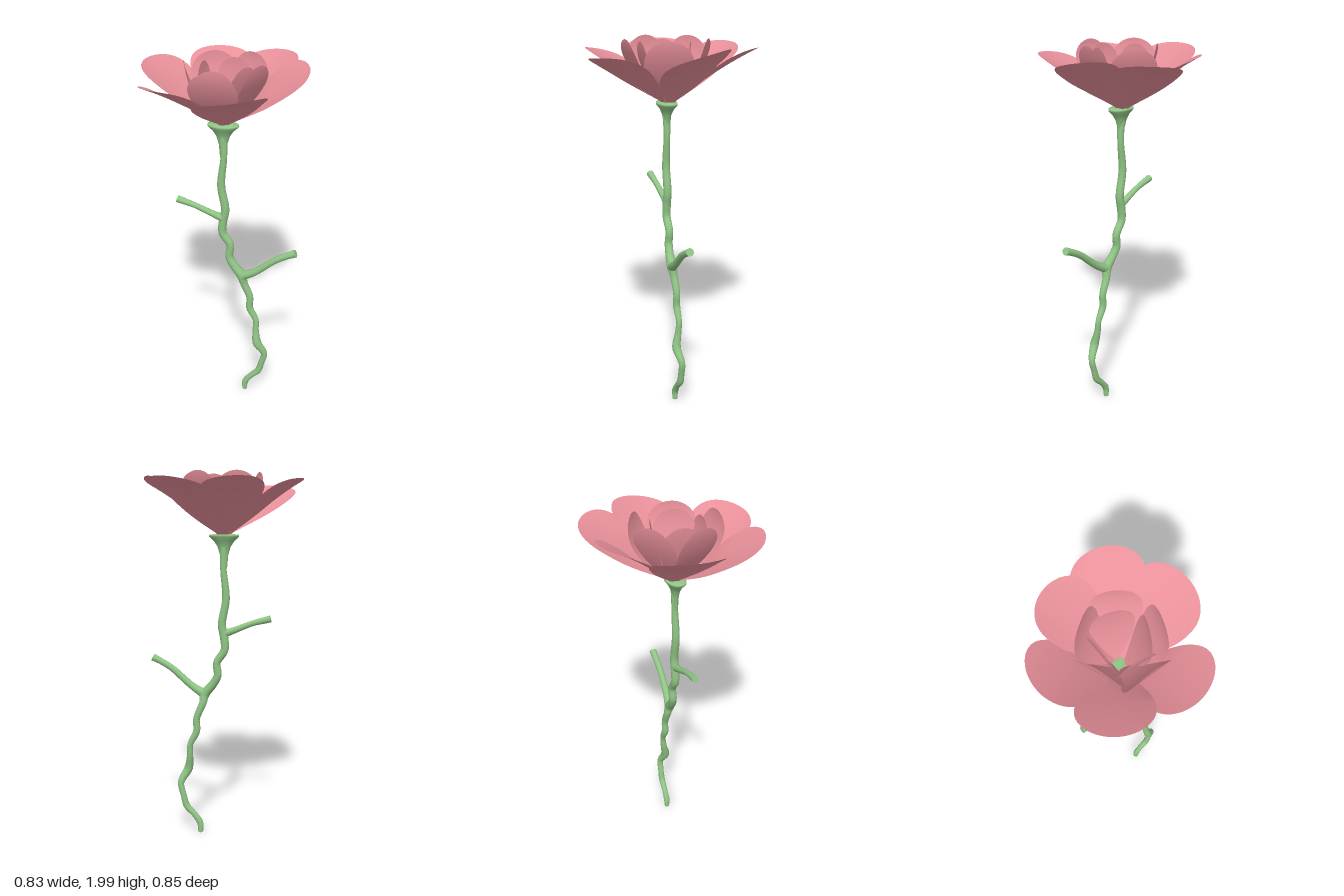
import * as THREE from 'three';

const green = new THREE.MeshStandardMaterial({ color: 0x90c585 });
const pink = new THREE.MeshStandardMaterial({ color: 0xe8909a, side: THREE.DoubleSide });

function addMesh(parent, name, geometry, material) {
  const mesh = new THREE.Mesh(geometry, material);
  mesh.name = name;
  parent.add(mesh);
  return mesh;
}

// Tube through [x, y, z, radius] points, closed with flat ends
function taperedTube(parent, name, points, segments) {
  const group = new THREE.Group();
  group.name = name;
  parent.add(group);
  const curve = new THREE.CatmullRomCurve3(points.map(([x, y, z]) => new THREE.Vector3(x, y, z)));
  const sides = 12;
  const geometry = new THREE.TubeGeometry(curve, segments, 1, sides);
  const pos = geometry.attributes.position;
  const v = new THREE.Vector3();
  for (let i = 0; i <= segments; i++) {
    const centre = curve.getPointAt(i / segments);
    const k = curve.getUtoTmapping(i / segments) * (points.length - 1);
    const a = Math.min(Math.floor(k), points.length - 2);
    const radius = THREE.MathUtils.lerp(points[a][3], points[a + 1][3], k - a);
    for (let j = 0; j <= sides; j++) {
      const n = i * (sides + 1) + j;
      v.fromBufferAttribute(pos, n).sub(centre).multiplyScalar(radius).add(centre);
      pos.setXYZ(n, v.x, v.y, v.z);
    }
  }
  addMesh(group, name + 'Tube', geometry, green);
  for (const end of [0, 1]) {
    const radius = points[end * (points.length - 1)][3];
    const cap = addMesh(group, name + 'End', new THREE.CircleGeometry(radius, sides), green);
    cap.position.copy(curve.getPointAt(end));
    cap.lookAt(curve.getTangentAt(end).multiplyScalar(end ? 1 : -1).add(cap.position));
  }
}

// Thin rounded petal; angle runs from the front towards the left side.
// roll tips one side up, cup lifts both sides, belly above 1 makes the petal stand upright at its tip.
function petal(parent, name, angle, { reach, top, width, roll = 0, cup = 0, belly = 1 }) {
  const base = 1.67, start = 0.02, widest = 0.68;
  const geometry = new THREE.PlaneGeometry(2, 1, 14, 24);
  const pos = geometry.attributes.position;
  for (let i = 0; i < pos.count; i++) {
    const t = Math.sin((pos.getY(i) + 0.5) * Math.PI / 2);
    const half = t < widest
      ? Math.max(0.015, width * Math.sin(Math.PI / 2 * t / widest))
      : width * Math.sqrt(Math.max(0, 1 - ((t - widest) / (1 - widest)) ** 2));
    const side = pos.getX(i) * half;
    const rise = (top - base) * (belly > 1 ? t : 1.25 * t - 0.25 * t * t);
    pos.setXYZ(i, side, base + rise + (roll * side + cup * side * side) * Math.min(1, t * 2),
      start + (reach - start) * (1 - (1 - t) ** belly));
  }
  geometry.computeVertexNormals();
  addMesh(parent, name, geometry, pink).rotation.y = THREE.MathUtils.degToRad(angle);
}

export function createModel() {
  const flower = new THREE.Group();
  flower.name = 'flower';

  // Crooked stem
  taperedTube(flower, 'stem', [
    [0.135, 0.008, 0.01, 0.014], [0.138, 0.06, 0.01, 0.018], [0.17, 0.11, 0.01, 0.016],
    [0.215, 0.16, 0.01, 0.019], [0.232, 0.22, 0.01, 0.017], [0.247, 0.295, 0.013, 0.018],
    [0.207, 0.375, 0.029, 0.025], [0.195, 0.45, 0.016, 0.018], [0.192, 0.52, 0.01, 0.016],
    [0.155, 0.6, 0.01, 0.02], [0.155, 0.67, 0.01, 0.019], [0.12, 0.76, 0.013, 0.021],
    [0.11, 0.81, 0.02, 0.028], [0.062, 0.87, 0.017, 0.023], [0.036, 0.92, 0.012, 0.022],
    [0.04, 0.99, 0.01, 0.021], [-0.002, 1.06, 0.01, 0.022], [0, 1.13, 0.01, 0.023],
    [0.012, 1.2, 0.01, 0.022], [-0.01, 1.34, 0.01, 0.021], [0.004, 1.5, 0.01, 0.017],
    [0.002, 1.58, 0.01, 0.02], [0, 1.64, 0.01, 0.025],
  ], 130);

  // Side branches
  taperedTube(flower, 'rightBranch', [
    [0, 1.15, 0.012, 0.022], [-0.06, 1.172, 0.015, 0.017], [-0.15, 1.208, 0.018, 0.015],
    [-0.25, 1.235, 0.018, 0.019],
  ], 24);
  taperedTube(flower, 'leftBranch', [
    [0.11, 0.81, 0.02, 0.027], [0.18, 0.85, 0.03, 0.02], [0.3, 0.95, 0.035, 0.018],
    [0.36, 0.985, 0.035, 0.018], [0.403, 1.006, 0.035, 0.021],
  ], 28);

  // Flared cup under the bloom, flatter from front to back
  const profile = [[0.016, 1.5], [0.022, 1.57], [0.035, 1.615], [0.055, 1.645], [0.08, 1.667],
    [0.08, 1.678], [0.04, 1.682], [0, 1.68]].map(([r, y]) => new THREE.Vector2(r, y));
  const calyx = addMesh(flower, 'calyx', new THREE.LatheGeometry(profile, 24), green);
  calyx.scale.z = 0.64;
  calyx.position.z = 0.01;

  // Three rings of petals
  const rings = {
    outerPetal: [
      { angle: 20, reach: 0.44, top: 1.935, roll: 0.1 },
      { angle: 97, reach: 0.415, top: 1.96, roll: 0.2 },
      { angle: 151, reach: 0.45, top: 1.96, roll: -0.1 },
      { angle: 197, reach: 0.4, top: 1.96, roll: 0.03, width: 0.162 },
      { angle: 261, reach: 0.42, top: 1.96 },
      { angle: 319, reach: 0.44, top: 1.935, roll: 0.15 },
    ].map((p) => ({ width: 0.174, cup: 0.7, ...p })),
    middlePetal: [[0, 0.225], [71, 0.195], [147, 0.2], [213, 0.17], [291, 0.19]]
      .map(([angle, reach]) => ({ angle, reach, top: 2, width: 0.122, belly: 1.7 })),
    innerPetal: [[356, 0.145], [65, 0.13], [160, 0.11], [270, 0.105]]
      .map(([angle, reach]) => ({ angle, reach, top: 1.985, width: 0.105, belly: 1.7 })),
  };
  for (const [name, petals] of Object.entries(rings)) {
    const ring = new THREE.Group();
    ring.name = name + 's';
    flower.add(ring);
    for (const shape of petals) petal(ring, name, shape.angle, shape);
  }
  return flower;
}
